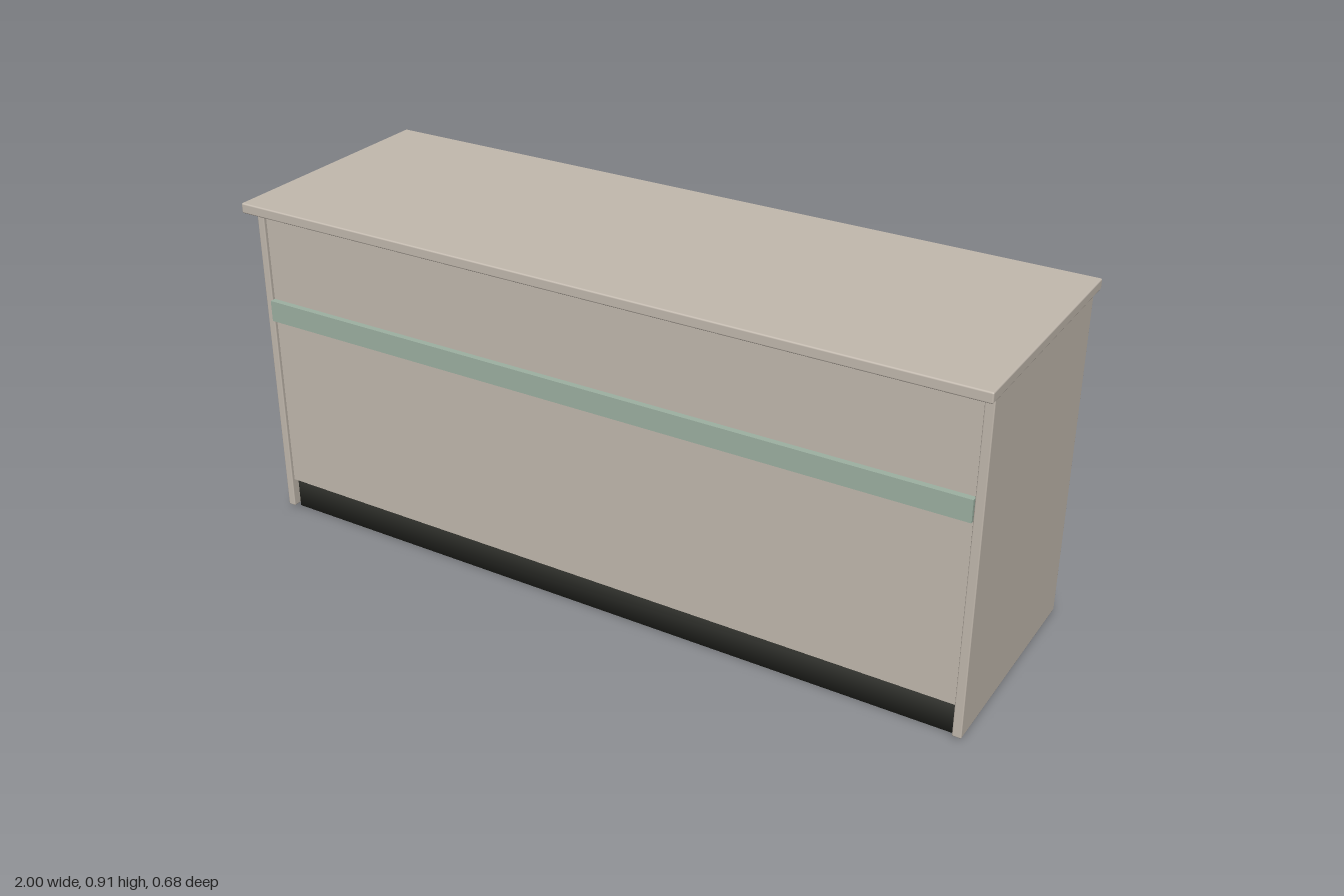
import * as THREE from 'three';
import { mergeVertices } from 'three/addons/utils/BufferGeometryUtils.js';
import { RoundedBoxGeometry } from 'three/addons/geometries/RoundedBoxGeometry.js';

export function createModel() {
  const group = new THREE.Group();
  group.name = 'counterWithDrawers';

  const material = (name, color) => {
    const m = new THREE.MeshStandardMaterial({ color });
    m.name = name;
    return m;
  };
  const beige = material('beige laminate', 0xc2b9ae);
  const green = material('sage green', 0x9db1a2);
  const dark = material('dark plinth', 0x31322d);

  const add = (name, geometry, mat, x = 0, y = 0, z = 0) => {
    const mesh = new THREE.Mesh(geometry, mat);
    mesh.name = name;
    mesh.position.set(x, y, z);
    group.add(mesh);
    return mesh;
  };
  // Box given by its limits, with an optional softened edge
  const box = (name, mat, [x0, x1], [y0, y1], [z0, z1], radius = 0) => {
    const size = [x1 - x0, y1 - y0, z1 - z0];
    const geometry = radius ? new RoundedBoxGeometry(...size, 2, radius) : new THREE.BoxGeometry(...size);
    return add(name, geometry, mat, (x0 + x1) / 2, (y0 + y1) / 2, (z0 + z1) / 2);
  };

  const inner = [-0.977, 0.965];

  // Worktop, sides and body
  box('worktop', beige, [-1, 1], [0.885, 0.912], [-0.322, 0.342], 0.004);
  box('rightSide', beige, [-0.998, -0.977], [0.01, 0.885], [-0.31, 0.293], 0.003);
  box('leftSide', beige, [0.965, 0.988], [0.01, 0.885], [-0.31, 0.293], 0.003);
  box('body', beige, inner, [0.09, 0.885], [-0.293, 0.284]);
  box('frontStripRail', green, inner, [0.575, 0.632], [0.284, 0.3]);

  // Plinth with softened shading
  const plinth = box('plinth', dark, inner, [0, 0.09], [-0.283, 0.27]);
  plinth.geometry.deleteAttribute('normal');
  plinth.geometry.deleteAttribute('uv');
  plinth.geometry = mergeVertices(plinth.geometry);
  plinth.geometry.computeVertexNormals();

  // Knob profile turned around the z axis, pointing backwards
  const profile = [[0.008, 0], [0.008, 0.008], [0.014, 0.01], [0.0185, 0.017], [0.0165, 0.024], [0.009, 0.032], [0, 0.035]];
  const knobGeometry = new THREE.LatheGeometry(profile.map(([r, h]) => new THREE.Vector2(r, h)), 16);
  knobGeometry.rotateX(-Math.PI / 2);

  // Drawers: four columns of four, each with a knob
  const columns = [
    { x: [0.419, 0.953], knob: 0.617 },
    { x: [0.01, 0.403], knob: 0.095 },
    { x: [-0.403, -0.006], knob: -0.088 },
    { x: [-0.965, -0.419], knob: -0.617 },
  ];
  const rows = [
    { y: [0.655, 0.862], knob: 0.778 },
    { y: [0.49, 0.636], knob: 0.562 },
    { y: [0.323, 0.471], knob: 0.397 },
    { y: [0.128, 0.303], knob: 0.222 },
  ];
  for (const column of columns) {
    for (const row of rows) {
      box('drawerFront', beige, column.x, row.y, [-0.305, -0.293], 0.003);
      add('drawerKnob', knobGeometry, beige, column.knob, row.knob, -0.305);
    }
  }
  return group;
}
